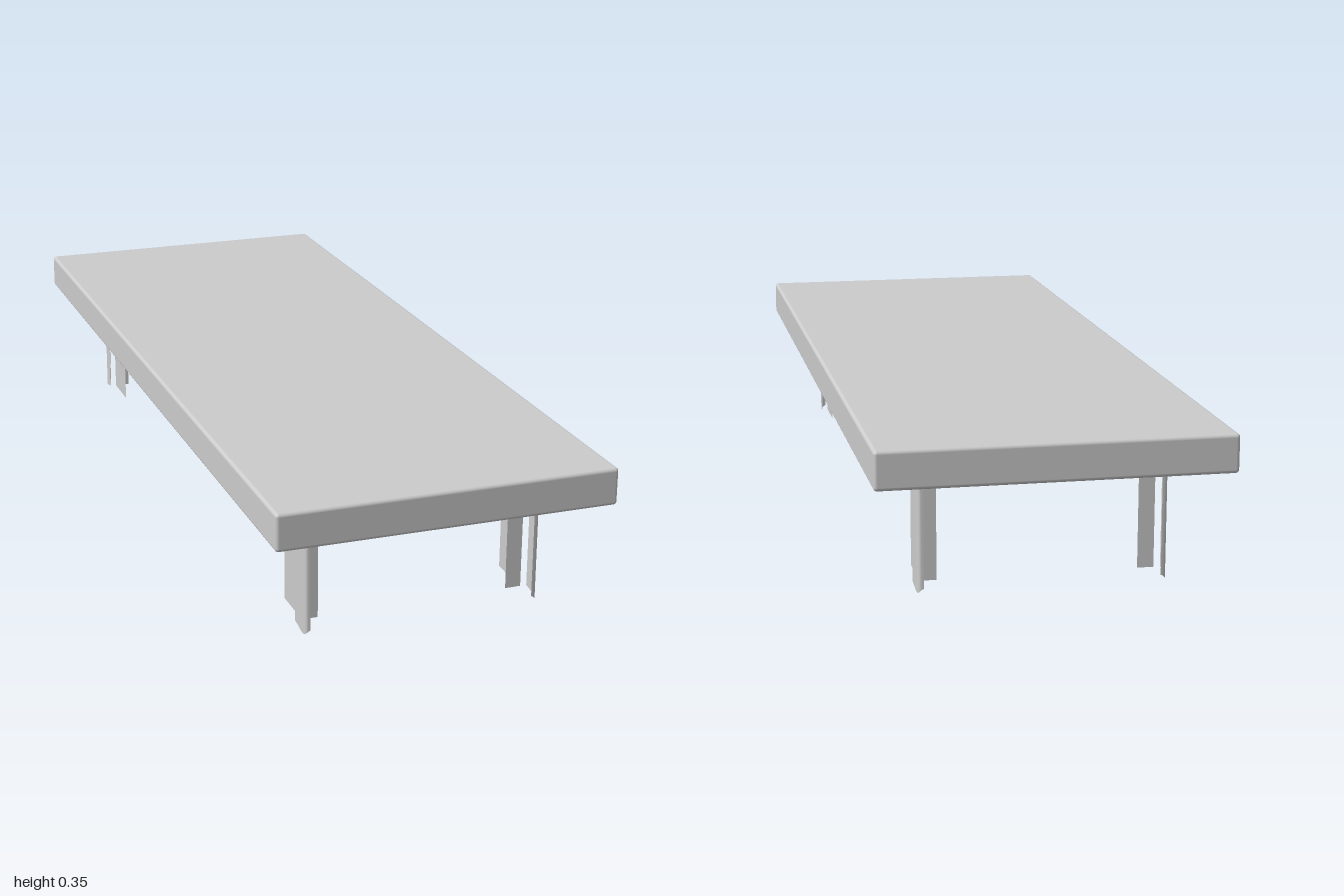
import * as THREE from 'three';
import { RoundedBoxGeometry } from 'three/addons/geometries/RoundedBoxGeometry.js';

const material = new THREE.MeshStandardMaterial({ color: 0xcccccc });
const sheetMaterial = new THREE.MeshStandardMaterial({ color: 0xcccccc, side: THREE.DoubleSide });

function addMesh(parent, name, geometry, mat = material) {
  const mesh = new THREE.Mesh(geometry, mat);
  mesh.name = name;
  parent.add(mesh);
  return mesh;
}

// Thin upright wall following plan points [x, z, bottomY] up to a common top
function wall(points, top) {
  const positions = [], index = [];
  points.forEach(([x, z, bottom], i) => {
    positions.push(x, bottom, z, x, top, z);
    if (i > 0) {
      const a = 2 * (i - 1);
      index.push(a, a + 1, a + 2, a + 1, a + 3, a + 2);
    }
  });
  const geometry = new THREE.BufferGeometry();
  geometry.setAttribute('position', new THREE.Float32BufferAttribute(positions, 3));
  geometry.setIndex(index);
  geometry.computeVertexNormals();
  return geometry;
}

// Corner leg: a rounded outer shell with two flat flanges meeting behind it
function createLeg() {
  const leg = new THREE.Group();
  const cx = 0.26, cz = 0.803, rx = 0.015, rz = 0.057, top = 0.262;
  const shell = [];
  for (let i = 0; i <= 12; i++) {
    const a = (i / 12) * Math.PI / 2;
    const u = Math.sqrt(Math.cos(a)), v = Math.sqrt(Math.max(0, Math.sin(a)));
    const safeU = Number.isFinite(u) ? u : 0;
    // The bottom edge dips towards the outer corner
    shell.push([cx + rx * safeU, cz + rz * v, 0.01 * (1 - Math.sin(2 * a))]);
  }
  addMesh(leg, 'legCornerShell', wall(shell, top), sheetMaterial);
  addMesh(leg, 'legSideFlange', wall([[cx, 0.69, 0.01], [cx, cz, 0.01]], top), sheetMaterial);
  addMesh(leg, 'legEndFlange', wall([[0.223, cz, 0.01], [cx, cz, 0.01]], top), sheetMaterial);
  return leg;
}

export function createModel() {
  const table = new THREE.Group();
  table.name = 'lowTable';

  // Thick slab with softened edges
  addMesh(table, 'tableTop', new RoundedBoxGeometry(0.77, 0.085, 2, 4, 0.008)).position.y = 0.3105;

  // Shallow apron panel under the slab
  addMesh(table, 'apron', new RoundedBoxGeometry(0.55, 0.035, 1.72, 4, 0.01)).position.y = 0.2715;

  // Four mirrored legs
  for (const sx of [1, -1]) {
    for (const sz of [1, -1]) {
      const leg = createLeg();
      leg.name = (sz > 0 ? 'front' : 'back') + (sx > 0 ? 'Left' : 'Right') + 'Leg';
      leg.scale.set(sx, 1, sz);
      table.add(leg);
    }
  }
  return table;
}
